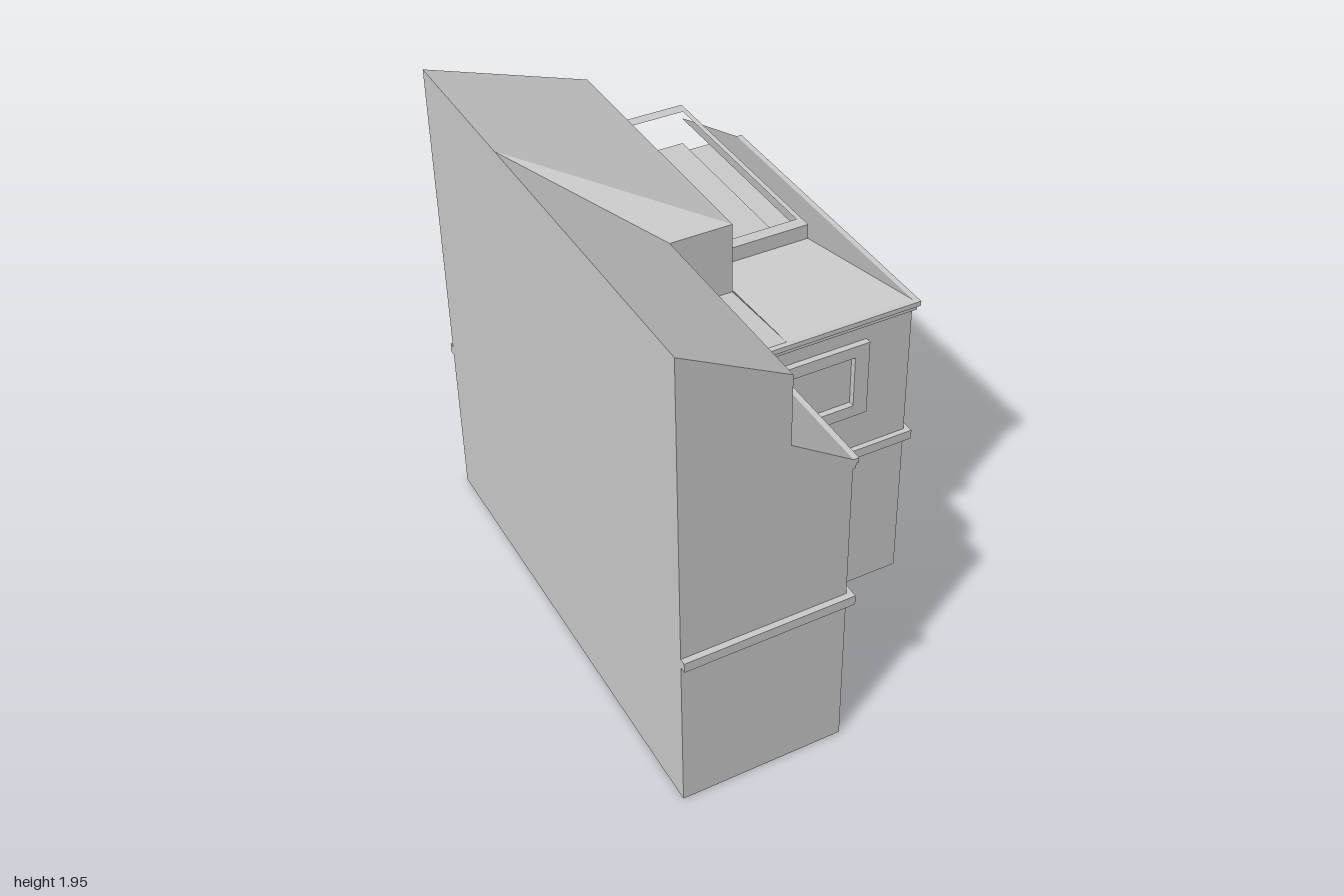
import * as THREE from 'three';

const XL = -0.71, XI = -0.07, XR = 0.585; // left wall, inner corner, right wall
const ZB = -0.975, ZI = 0.325, ZF = 0.975; // back wall, wing front, leg front
const EAVE = 1.30, DECK = 1.455, TOP = 1.735, RIDGE = 1.95;

export function createModel() {
  const group = new THREE.Group();
  const material = new THREE.MeshStandardMaterial({ color: 0xcccccc });

  const add = (name, geometry) => {
    const mesh = new THREE.Mesh(geometry, material);
    mesh.name = name;
    group.add(mesh);
    return mesh;
  };
  const extrude = (points, depth, hole) => {
    const shape = new THREE.Shape(points.map(p => new THREE.Vector2(...p)));
    if (hole) shape.holes.push(new THREE.Path(hole.map(p => new THREE.Vector2(...p))));
    return new THREE.ExtrudeGeometry(shape, { depth, bevelEnabled: false });
  };
  const rect = (a, b, c, d) => [[a, c], [b, c], [b, d], [a, d]];

  // Plan outline (x, z) raised from y0 to y1
  const slab = (name, plan, y0, y1, hole) => {
    const flip = pts => pts && pts.map(([x, z]) => [x, -z]);
    const g = extrude(flip(plan), y1 - y0, flip(hole));
    return add(name, g.rotateX(-Math.PI / 2).translate(0, y0, 0));
  };
  // L-shaped plan, grown by side on the street faces and by end at front and back
  const plan = (side, end) => [
    [XL, ZF + end], [XI + side, ZF + end], [XI + side, ZI + side],
    [XR + side, ZI + side], [XR + side, ZB - end], [XL, ZB - end],
  ];

  slab('walls', plan(0, 0), 0, EAVE);
  slab('beltCourse', plan(0.022, 0.025), 0.66, 0.70);
  slab('corniceLower', plan(0.012, 0), 1.26, 1.28);
  slab('corniceUpper', plan(0.022, 0), 1.28, EAVE);

  // Roof: flat faces, corners counter-clockwise from outside
  const XS = -0.305, XT = -0.065, ZT = 0.16, XD = 0.335, XV = 0.06;
  const apex = [XL, RIDGE, -0.33];
  const faces = [
    // lower slopes with the valley at the inner corner
    [[XS, DECK, ZT], [XS, DECK, ZF], [XI, EAVE, ZF], [XI, EAVE, ZI]],
    [[XS, DECK, ZT], [XI, EAVE, ZI], [XV, EAVE, ZI], [XT, DECK, ZT]],
    [[XT, DECK, ZT], [XV, EAVE, ZI], [XT, DECK, 0]],
    [[XT, DECK, 0], [XV, EAVE, ZI], [XR, EAVE, ZI], [XD, DECK, 0]],
    [[XD, DECK, 0], [XR, EAVE, ZI], [XR, EAVE, ZB], [XD, DECK, ZB]],
    // upper storey walls
    [[XS, DECK, ZF], [XS, DECK, ZT], [XS, TOP, ZT], [XS, TOP, ZF]],
    [[XS, DECK, ZT], [XT, DECK, ZT], [XT, TOP, ZT], [XS, TOP, ZT]],
    [[XT, DECK, ZT], [XT, DECK, ZB], [XT, TOP, ZB], [XT, TOP, ZT]],
    // upper slopes
    [[XL, RIDGE, ZF], [XS, TOP, ZF], [XS, TOP, ZT], apex],
    [apex, [XS, TOP, ZT], [XT, TOP, ZT]],
    [apex, [XT, TOP, ZT], [XT, TOP, ZB], [XL, RIDGE, ZB]],
    // left, front and back walls above the eaves
    [[XL, EAVE, ZB], [XL, EAVE, ZF], [XL, RIDGE, ZF], [XL, RIDGE, ZB]],
    [[XL, EAVE, ZF], [XI, EAVE, ZF], [XS, DECK, ZF], [XS, TOP, ZF], [XL, RIDGE, ZF]],
    [[XL, EAVE, ZB], [XL, RIDGE, ZB], [XT, TOP, ZB], [XT, DECK, ZB], [XD, DECK, ZB], [XR, EAVE, ZB]],
  ];
  const corners = [];
  for (const f of faces) {
    for (let i = 1; i < f.length - 1; i++) corners.push(...f[0], ...f[i], ...f[i + 1]);
  }
  const roof = new THREE.BufferGeometry();
  roof.setAttribute('position', new THREE.Float32BufferAttribute(corners, 3));
  roof.computeVertexNormals();
  add('roof', roof);

  // Sunken terrace and its parapet
  slab('parapet', rect(XT, XD, ZB, 0), 1.355, 1.515, rect(-0.04, 0.315, -0.925, -0.05));
  slab('terraceFloor', rect(-0.05, 0.325, -0.95, -0.03), 1.335, 1.356);

  // Window and door surrounds: outer and inner are [u0, u1, v0, v1];
  // a surround whose inner edge reaches its base is open at the bottom
  const surround = (o, i, depth) => {
    if (i[2] > o[2]) return extrude(rect(...o), depth, rect(...i));
    return extrude([[o[0], o[2]], [i[0], o[2]], [i[0], i[3]], [i[1], i[3]],
      [i[1], o[2]], [o[1], o[2]], [o[1], o[3]], [o[0], o[3]]], depth);
  };
  const onFront = (name, o, i) => add(name, surround(o, i, 0.025).translate(0, 0, ZI));
  const onSide = (name, x, o, i) =>
    add(name, surround(o, i, 0.022).rotateY(Math.PI / 2).translate(x, 0, 0));

  onFront('frontWindowFrame', [0, 0.395, 0.875, 1.195], [0.06, 0.335, 0.925, 1.145]);
  onFront('frontDoorFrame', [0, 0.275, 0, 0.5], [0.06, 0.22, 0, 0.435]);
  // side surrounds are measured along -z
  onSide('legWindowFrame', XI, [-0.725, -0.385, 0.875, 1.195], [-0.67, -0.445, 0.925, 1.145]);
  onSide('shopDoorFrame1', XR, [-0.185, 0.295, 0, 0.5], [-0.145, 0.23, 0, 0.435]);
  onSide('shopDoorFrame2', XR, [0.44, 0.91, 0, 0.5], [0.49, 0.855, 0, 0.435]);
  onSide('balconyDoorFrame1', XR, [-0.05, 0.295, 0.7, 1.195], [0, 0.23, 0.7, 1.147]);
  onSide('balconyDoorFrame2', XR, [0.49, 0.855, 0.7, 1.195], [0.535, 0.795, 0.7, 1.147]);

  // Thin balcony slabs
  slab('balcony1', rect(XR, 0.705, -0.295, 0.05), 0.64, 0.66);
  slab('balcony2', rect(XR, 0.705, -0.855, -0.49), 0.64, 0.66);

  return group;
}
